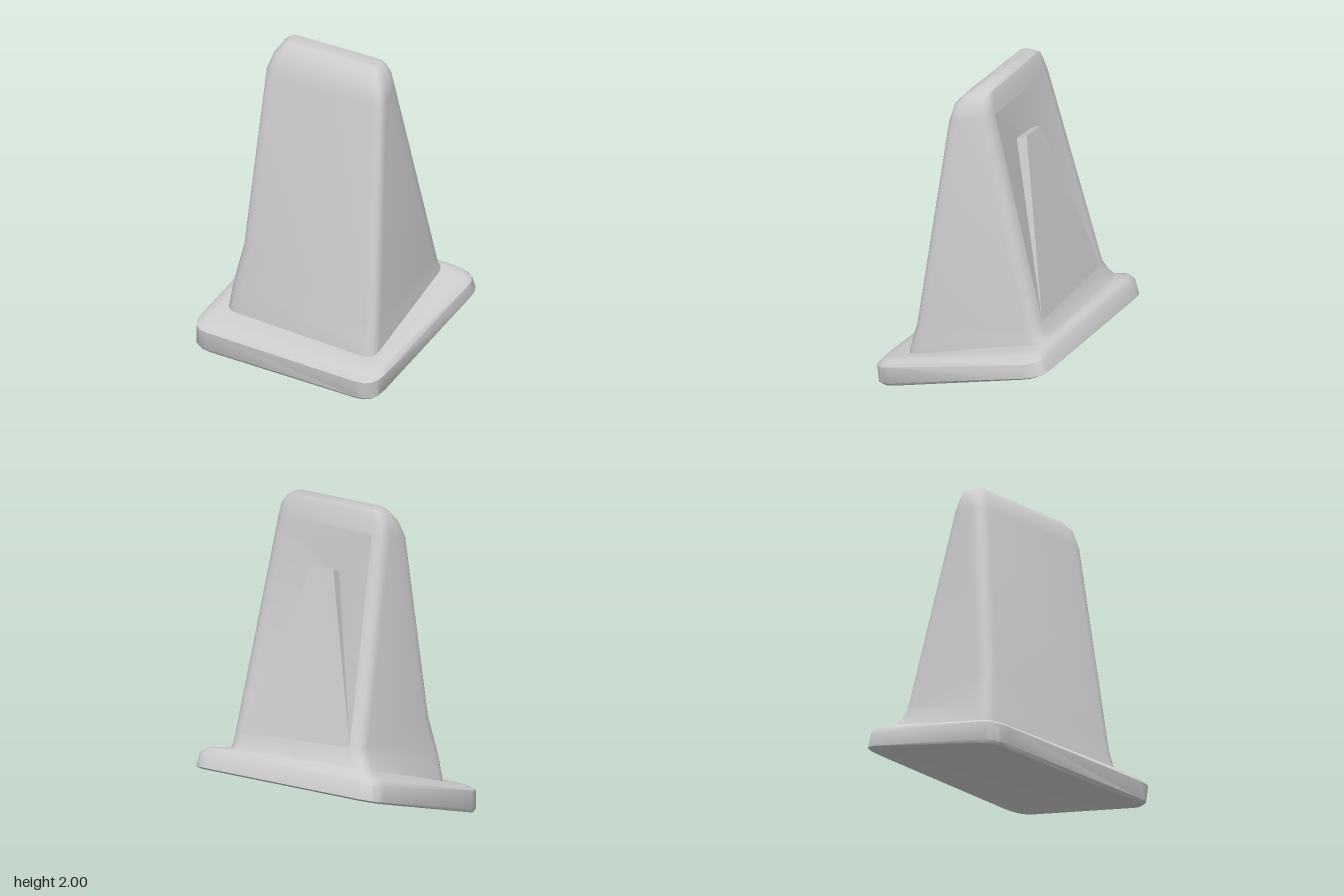
import * as THREE from 'three';
import { toCreasedNormals } from 'three/addons/utils/BufferGeometryUtils.js';

const STEPS = 4; // segments in each rounded corner
const V = (p) => new THREE.Vector3(p[0], p[1], p[2]);

// Four-cornered ring (back, left, front, right) with rounded corners
function ring(r, ...corners) {
  const c = corners.map(V), pts = [];
  c.forEach((p, i) => {
    const toward = (q) => p.clone().add(q.clone().sub(p).setLength(r));
    const curve = new THREE.QuadraticBezierCurve3(toward(c[(i + 3) % 4]), p, toward(c[(i + 1) % 4]));
    pts.push(...curve.getPoints(STEPS));
  });
  return pts;
}

function meshFrom(name, tris, crease) {
  let g = new THREE.BufferGeometry().setFromPoints(tris);
  g = toCreasedNormals(g, crease);
  const m = new THREE.Mesh(g, new THREE.MeshStandardMaterial({ color: 0xcccccc }));
  m.name = name;
  return m;
}

// Skin between successive rings; skip(i, j) leaves a gap
function loft(rings, skip = () => false) {
  const t = [];
  for (let i = 0; i < rings.length - 1; i++) {
    const lo = rings[i], hi = rings[i + 1], n = lo.length;
    for (let j = 0; j < n; j++) {
      if (skip(i, j)) continue;
      const k = (j + 1) % n;
      t.push(lo[j], hi[j], hi[k], lo[j], hi[k], lo[k]);
    }
  }
  return t;
}

// Fan that closes a ring
function cap(pts, up, start = 0) {
  const t = [], n = pts.length, at = (i) => pts[(start + i) % n];
  for (let i = 1; i < n - 1; i++) {
    t.push(at(0), at(up ? i + 1 : i), at(up ? i : i + 1));
  }
  return t;
}

export function createModel() {
  const group = new THREE.Group();
  group.name = 'crushedCone';

  // Tilted square base with rounded rim
  const foot = ring(0.09, [-0.24, 0.50, -0.69], [0.66, 0.46, -0.19], [0.27, 0.21, 0.64], [-0.68, 0.22, 0.03]);
  const base = [
    ring(0.13, [-0.30, 0.325, -0.83], [0.87, 0.325, -0.16], [0.28, 0.00, 0.81], [-0.87, 0.00, 0.12]),
    ring(0.13, [-0.307, 0.34, -0.853], [0.89, 0.34, -0.17], [0.286, 0.02, 0.84], [-0.885, 0.02, 0.13]),
    ring(0.13, [-0.315, 0.43, -0.83], [0.87, 0.42, -0.14], [0.286, 0.13, 0.853], [-0.885, 0.14, 0.135]),
    ring(0.12, [-0.31, 0.46, -0.79], [0.81, 0.45, -0.14], [0.28, 0.18, 0.80], [-0.84, 0.17, 0.12]),
    ring(0.10, [-0.28, 0.47, -0.74], [0.74, 0.455, -0.16], [0.275, 0.20, 0.73], [-0.77, 0.195, 0.08]),
    foot,
  ];
  group.add(meshFrom('base', [...loft(base), ...cap(base[0], false, 2)], 0.75));

  // Tapering body with a flared foot and flattened tip
  const waist = ring(0.08, [-0.21, 0.60, -0.61], [0.63, 0.56, -0.15], [0.28, 0.40, 0.59], [-0.585, 0.65, 0.02]);
  const shoulder = ring(0.08, [-0.31, 1.86, -0.28], [0.39, 1.86, 0.13], [0.31, 1.80, 0.395], [-0.455, 1.80, -0.06]);
  const body = [
    foot,
    ring(0.09, [-0.22, 0.54, -0.65], [0.645, 0.49, -0.17], [0.275, 0.28, 0.625], [-0.65, 0.40, 0.025]),
    waist,
    shoulder,
    ring(0.08, [-0.31, 1.93, -0.255], [0.375, 1.93, 0.13], [0.30, 1.91, 0.36], [-0.41, 1.91, -0.075]),
    ring(0.06, [-0.295, 1.98, -0.23], [0.34, 1.98, 0.13], [0.28, 1.97, 0.29], [-0.35, 1.97, -0.09]),
    ring(0.04, [-0.27, 2.00, -0.20], [0.31, 2.00, 0.12], [0.26, 2.00, 0.225], [-0.31, 2.00, -0.10]),
  ];
  const gap = (i, j) => i === 2 && j === STEPS;
  group.add(meshFrom('body', [...loft(body, gap), ...cap(body[6], true)], 0.75));

  // Buckled back panel: recess around a raised wedge
  const botR = waist[STEPS], botL = waist[STEPS + 1];
  const topR = shoulder[STEPS], topL = shoulder[STEPS + 1];
  const tipR = V([0.00, 1.62, -0.20]), tipL = V([0.14, 1.62, -0.11]);
  const dentR = V([-0.03, 1.59, -0.14]), dentL = V([0.11, 1.59, -0.05]);
  const quad = (a, b, c, d) => [a, b, c, a, c, d];
  group.add(meshFrom('buckledBackPanel', [
    ...quad(dentR, topR, topL, dentL),
    botR, topR, dentR,
    botL, dentL, topL,
  ], 0.6));
  group.add(meshFrom('backWedge', [
    ...quad(botR, tipR, tipL, botL),
    ...quad(tipR, dentR, dentL, tipL),
    botR, dentR, tipR,
    botL, tipL, dentL,
  ], 0.4));

  return group;
}
